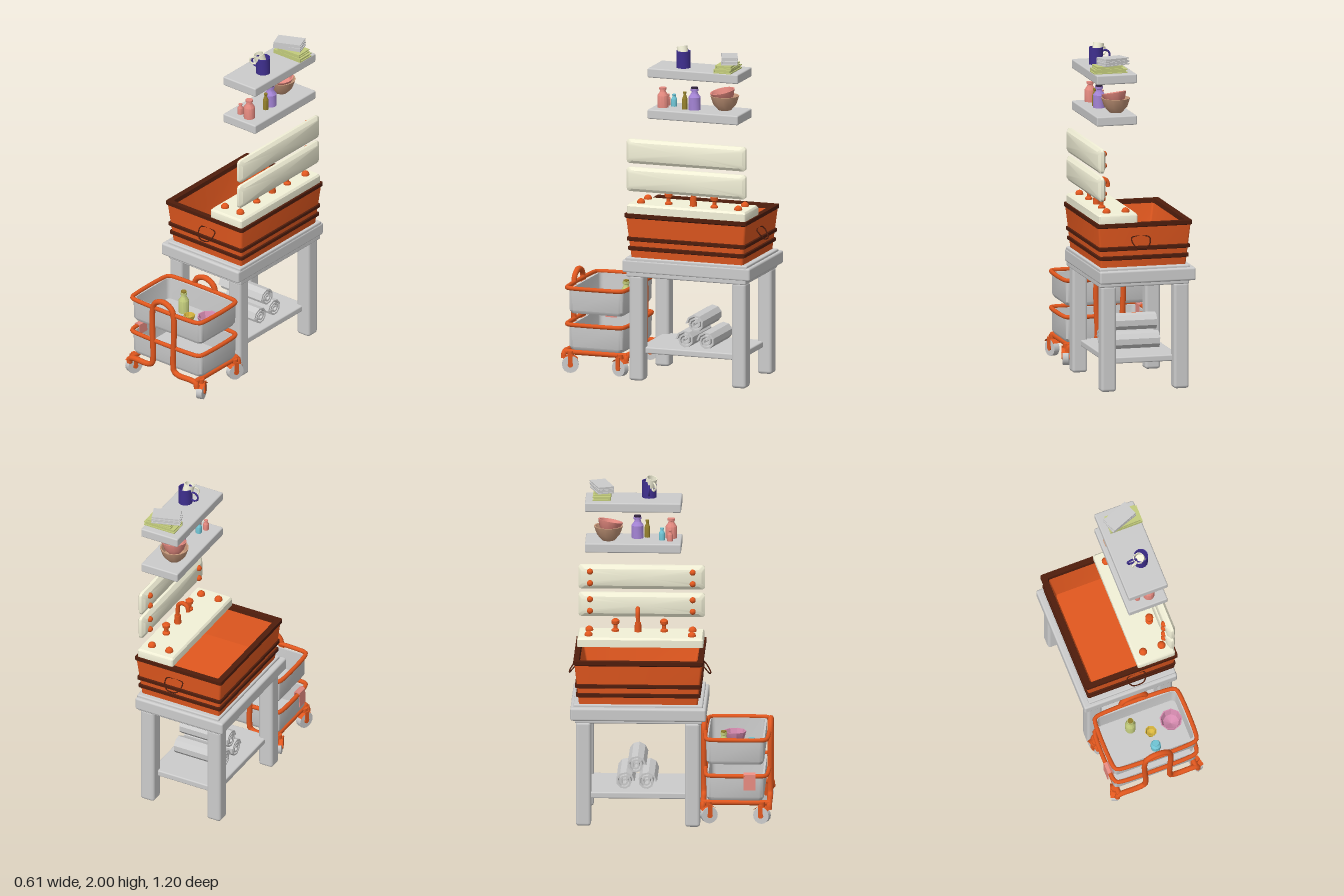
import * as THREE from 'three';
import { toCreasedNormals } from 'three/addons/utils/BufferGeometryUtils.js';
import { RoundedBoxGeometry } from 'three/addons/geometries/RoundedBoxGeometry.js';

const GREY = 0xcccccc, ORANGE = 0xe2581f, DARK = 0x4f1d0c, CREAM = 0xf3f1d8, PINK = 0xe58a80;
const GREEN = 0xc3cc7c, PURPLE = 0x3f2f8f, CYAN = 0x6fc4d4, OLIVE = 0x94802c, LILAC = 0xa585d6;
const mats = {};
const mat = (c) => (mats[c] ??= new THREE.MeshStandardMaterial({ color: c, side: THREE.DoubleSide }));

function add(parent, name, geo, color, x = 0, y = 0, z = 0) {
  const m = new THREE.Mesh(geo, mat(color));
  m.name = name;
  m.position.set(x, y, z);
  parent.add(m);
  return m;
}
function group(parent, name, x = 0, y = 0, z = 0) {
  const g = new THREE.Group();
  g.name = name;
  g.position.set(x, y, z);
  parent.add(g);
  return g;
}
// Box given by its limits, with softened edges
function box(parent, name, color, [x0, x1], [y0, y1], [z0, z1], r = 0.008) {
  const geo = new RoundedBoxGeometry(x1 - x0, y1 - y0, z1 - z0, 2, r);
  return add(parent, name, geo, color, (x0 + x1) / 2, (y0 + y1) / 2, (z0 + z1) / 2);
}
// Skin over rounded rectangles [halfX, halfZ, y]
function loft(rings, radius, closed = false) {
  const pos = [], idx = [], k = 4, n = k * 4;
  for (const [hx, hz, y] of rings) {
    const r = Math.min(radius, hx, hz);
    for (let c = 0; c < 4; c++) for (let i = 0; i < k; i++) {
      const a = (c + i / (k - 1)) * Math.PI / 2;
      const sx = c === 0 || c === 3 ? 1 : -1, sz = c < 2 ? -1 : 1;
      pos.push(sx * (hx - r) + r * Math.cos(a), y, sz * (hz - r) - r * Math.sin(a));
    }
  }
  const m = rings.length;
  for (let j = 0; j < (closed ? m : m - 1); j++) for (let i = 0; i < n; i++) {
    const a = j * n + i, b = j * n + (i + 1) % n, c = ((j + 1) % m) * n + (i + 1) % n, d = ((j + 1) % m) * n + i;
    idx.push(a, b, c, a, c, d);
  }
  const g = new THREE.BufferGeometry();
  g.setAttribute('position', new THREE.Float32BufferAttribute(pos, 3));
  g.setIndex(idx);
  return toCreasedNormals(g, 0.6);
}
function tube(pts, r, closed = false, seg = 48, sides = 8) {
  const curve = new THREE.CatmullRomCurve3(pts.map((p) => new THREE.Vector3(...p)), closed);
  return new THREE.TubeGeometry(curve, seg, r, sides, closed);
}
const lathe = (pts, sides = 12) =>
  toCreasedNormals(new THREE.LatheGeometry(pts.map((p) => new THREE.Vector2(...p)), sides), 0.6);
const bottle = (r, h) => lathe([[0, 0], [r, 0], [r, h * 0.6], [r * 0.55, h * 0.78], [r * 0.5, h * 0.88], [r * 0.65, h * 0.9], [r * 0.65, h], [0, h]]);
const bowl = (r, h, sides = 14) =>
  lathe([[0, 0], [r * 0.45, 0], [r * 0.8, h * 0.4], [r, h], [r * 0.9, h], [r * 0.7, h * 0.45], [0, h * 0.12]], sides);
const ball = (r) => new THREE.SphereGeometry(r, 14, 10);

function mug(parent, name, color, r, h, x, y, z) {
  const g = group(parent, name, x, y, z);
  add(g, 'mugBody', lathe([[0, 0], [r, 0], [r, h], [r * 0.88, h], [r * 0.85, 0.01], [0, 0.01]], 16), color);
  add(g, 'mugHandle', new THREE.TorusGeometry(h * 0.28, 0.006, 6, 14), color, -r - h * 0.13, h * 0.52, 0);
  return g;
}
function book(parent, name, color, w, d, h, x, y, z, turn = 0, tilt = 0) {
  const g = group(parent, name, x, y, z);
  g.rotation.set(0, turn, tilt);
  for (const t of [0.003, h - 0.003]) add(g, 'cover', new THREE.BoxGeometry(w, 0.006, d), color, 0, t, 0);
  add(g, 'spine', new THREE.BoxGeometry(w, h, 0.006), color, 0, h / 2, d / 2 - 0.003);
  add(g, 'pages', new THREE.BoxGeometry(w - 0.016, h - 0.01, d - 0.014), color, 0, h / 2, 0);
}

function buildTable(root) {
  const g = group(root, 'table');
  box(g, 'tableTop', GREY, [-0.305, 0.275], [0.645, 0.722], [-0.583, 0.21], 0.012);
  box(g, 'tableTopStep', GREY, [-0.27, 0.272], [0.71, 0.737], [-0.565, 0.19]);
  box(g, 'apron', GREY, [-0.27, 0.272], [0.622, 0.655], [-0.557, 0.185]);
  box(g, 'lowerShelf', GREY, [-0.225, 0.21], [0.157, 0.195], [-0.5, 0.13]);
  for (const x of [-0.227, 0.213]) for (const z of [0.13, -0.507])
    box(g, 'tableLeg', GREY, [x - 0.046, x + 0.046], [0, 0.63], [z - 0.044, z + 0.044], 0.018);
}

function buildTowels(root) {
  // Spiral outline: out along the outer side, back along the inner one
  const turns = 2.4, n = 22, outer = [], inner = [];
  for (let i = 0; i <= n; i++) {
    const a = (i / n) * turns * Math.PI * 2 + 0.6, r = 0.014 + 0.019 * (i / n) * turns;
    outer.push(new THREE.Vector2(Math.cos(a) * r, Math.sin(a) * r));
    inner.unshift(new THREE.Vector2(Math.cos(a) * (r - 0.011), Math.sin(a) * (r - 0.011)));
  }
  const geo = new THREE.ExtrudeGeometry(new THREE.Shape([...outer, ...inner]), { depth: 0.32, bevelEnabled: false });
  geo.translate(0, 0, -0.16).rotateY(Math.PI / 2);
  const g = group(root, 'towels');
  for (const [y, z] of [[0.245, -0.14], [0.245, -0.27], [0.343, -0.203]]) add(g, 'rolledTowel', geo, GREY, 0, y, z);
}

function buildBasin(root) {
  const g = group(root, 'basin', 0, 0, -0.187);
  add(g, 'tub', loft([[0, 0, 0.737], [0.257, 0.347, 0.737], [0.281, 0.373, 0.985], [0.25, 0.345, 0.985],
    [0.216, 0.305, 0.785], [0, 0, 0.785]], 0.012), ORANGE);
  add(g, 'rim', loft([[0.28, 0.37, 0.972], [0.287, 0.379, 0.978], [0.287, 0.379, 1], [0.252, 0.347, 1], [0.248, 0.343, 0.975]], 0.012, true), DARK);
  for (const [y, hx, hz] of [[0.848, 0.267, 0.359], [0.792, 0.262, 0.353]])
    add(g, 'band', loft([[hx - 0.006, hz - 0.006, y - 0.016], [hx + 0.01, hz + 0.01, y - 0.009],
      [hx + 0.01, hz + 0.01, y + 0.009], [hx - 0.006, hz - 0.006, y + 0.016]], 0.012, true), DARK);
  for (const s of [1, -1]) add(g, 'wireHandle', tube([[-0.025, 0.915, s * 0.368], [-0.031, 0.895, s * 0.385], [-0.01, 0.862, s * 0.408],
    [0.025, 0.855, s * 0.412], [0.06, 0.862, s * 0.408], [0.081, 0.895, s * 0.385], [0.075, 0.915, s * 0.368]], 0.004, true, 40, 6), DARK);
}

function buildTaps(root) {
  const g = group(root, 'taps');
  add(g, 'ledge', loft([[0, 0, 1], [0.117, 0.368, 1], [0.117, 0.368, 1.043], [0.108, 0.36, 1.055], [0, 0, 1.055]], 0.01), CREAM, 0.157, 0, -0.187);
  for (const x of [0.097, 0.212]) for (const z of [0.113, -0.49]) add(g, 'ledgeKnob', ball(0.024), ORANGE, x, 1.058, z);
  // Tap handles either side of the spout
  for (const z of [-0.053, -0.337])
    add(g, 'tapHandle', lathe([[0, 0], [0.022, 0], [0.022, 0.012], [0.012, 0.02], [0.012, 0.04], [0.022, 0.048], [0.024, 0.066], [0.014, 0.076], [0, 0.078]]), ORANGE, 0.2, 1.053, z);
  add(g, 'spoutBase', new THREE.CylinderGeometry(0.018, 0.022, 0.06, 12), ORANGE, 0.195, 1.08, -0.205);
  add(g, 'spout', tube([[0.195, 1.06, -0.205], [0.195, 1.14, -0.205], [0.188, 1.185, -0.205], [0.16, 1.203, -0.205],
    [0.132, 1.188, -0.205], [0.125, 1.155, -0.205]], 0.013), ORANGE);
}

function buildWallPanels(root) {
  const g = group(root, 'wallPanels');
  // Chamfered slab stood on edge
  const geo = loft([[0, 0, -0.022], [0.05, 0.35, -0.022], [0.072, 0.37, -0.006], [0.072, 0.37, 0.01], [0.054, 0.352, 0.024], [0, 0, 0.024]], 0.018)
    .rotateZ(-Math.PI / 2);
  for (const y of [1.37, 1.203]) {
    add(g, 'panel', geo, CREAM, 0.252, y, -0.185);
    for (const dy of [-0.035, 0.035]) for (const z of [0.113, -0.487]) add(g, 'panelBolt', ball(0.018), ORANGE, 0.227, y + dy, z);
  }
}

function buildShelves(root) {
  const g = group(root, 'shelves');
  for (const y of [1.572, 1.818]) box(g, 'shelf', GREY, [0.032, 0.275], [y, y + 0.056], [-0.51, 0.052]);
  const low = 1.628, top = 1.874;
  for (const [c, r, h, x, z] of [[PINK, 0.033, 0.118, 0.18, -0.01], [PINK, 0.017, 0.065, 0.11, -0.015], [CYAN, 0.018, 0.072, 0.132, -0.063],
    [OLIVE, 0.016, 0.104, 0.19, -0.15], [LILAC, 0.036, 0.125, 0.18, -0.207]]) add(g, 'bottle', bottle(r, h), c, x, low, z);
  add(g, 'bottleCap', new THREE.CylinderGeometry(0.02, 0.02, 0.012, 12), 0x33243f, 0.18, low + 0.128, -0.207);
  add(g, 'largeBowl', bowl(0.085, 0.085), 0xc99a7c, 0.125, low, -0.375);
  add(g, 'tiltedBowl', bowl(0.074, 0.07), PINK, 0.125, low + 0.045, -0.375).rotation.set(0.18, 0, -0.12);
  mug(g, 'mug', PURPLE, 0.042, 0.1, 0.18, top, -0.138);
  mug(g, 'stackedMug', CREAM, 0.032, 0.08, 0.175, top + 0.044, -0.138).rotation.set(0.1, 0.5, 0.22);
  book(g, 'lowerBook', GREEN, 0.2, 0.105, 0.024, 0.178, top, -0.413);
  book(g, 'secondBook', GREEN, 0.16, 0.1, 0.02, 0.185, top + 0.024, -0.413, 0.03);
  book(g, 'thirdBook', GREY, 0.17, 0.095, 0.021, 0.153, top + 0.045, -0.415, 0.33);
  book(g, 'topBook', GREY, 0.165, 0.095, 0.02, 0.155, top + 0.067, -0.415, 0.36, 0.03);
}

function buildCart(root) {
  const g = group(root, 'cart', 0.008, 0, 0);
  const cz = 0.378;
  // Hoop frames at both ends, flaring out to the casters
  for (const z of [0.577, 0.19]) {
    const half = [[0.252, 0.105], [0.246, 0.135], [0.215, 0.143], [0.115, 0.143], [0.082, 0.16], [0.075, 0.2], [0.08, 0.5], [0.062, 0.562]];
    const pts = [...half.map(([x, y]) => [-x, y, z]), [0, 0.589, z], ...half.reverse().map(([x, y]) => [x, y, z])];
    add(g, 'hoopFrame', tube(pts, 0.017, false, 90), ORANGE);
  }
  for (const s of [1, -1]) {
    add(g, 'baseBar', new THREE.CylinderGeometry(0.016, 0.016, 0.39, 8).rotateX(Math.PI / 2), ORANGE, s * 0.24, 0.143, 0.383);
    for (const z of [0.535, 0.225]) {
      const c = group(g, 'caster', s * 0.253, 0.072, z);
      c.rotation.y = s * (z > 0.4 ? 0.35 : -0.35);
      const across = (geo) => geo.rotateZ(Math.PI / 2);
      add(c, 'wheel', across(new THREE.CylinderGeometry(0.049, 0.049, 0.036, 16)), GREY);
      add(c, 'fender', across(new THREE.CylinderGeometry(0.055, 0.055, 0.05, 10, 1, true, 0.1, 1.9)), ORANGE).rotation.x = -0.55;
      add(c, 'hub', across(new THREE.CylinderGeometry(0.016, 0.016, 0.05, 10)), ORANGE);
      for (const e of [-0.023, 0.023]) add(c, 'fork', new THREE.BoxGeometry(0.006, 0.07, 0.026), ORANGE, e, 0.03, 0);
      add(c, 'stem', new THREE.CylinderGeometry(0.018, 0.018, 0.035, 8), ORANGE, 0, 0.062, 0);
    }
  }
  // Open baskets with tube rails
  for (const y of [0.375, 0.158]) {
    add(g, 'basket', loft([[0, 0, y], [0.245, 0.158, y], [0.257, 0.168, y + 0.02], [0.259, 0.17, y + 0.145],
      [0.247, 0.158, y + 0.145], [0.24, 0.152, y + 0.015], [0, 0, y + 0.015]], 0.025), GREY, 0, 0, cz);
    const hx = 0.26, hz = 0.178, k = 0.03, rail = [];
    for (const [sx, sz, flip] of [[1, 1, 0], [-1, 1, 1], [-1, -1, 0], [1, -1, 1]]) {
      const a = [sx * hx, 0, sz * (hz - k)], b = [sx * (hx - 0.3 * k), 0, sz * (hz - 0.3 * k)], c = [sx * (hx - k), 0, sz * hz];
      rail.push(...(flip ? [c, b, a] : [a, b, c]));
    }
    add(g, 'basketRail', tube(rail, 0.013, true, 96), ORANGE, 0, y + 0.151, cz + 0.007);
  }
  // Cloth draped over the lower rail
  const cloth = new THREE.Shape([[-0.022, -0.08], [-0.018, 0.012], [0, 0.022], [0.018, 0.012], [0.02, -0.05], [0.015, -0.05], [0.013, 0.008], [0, 0.016], [-0.013, 0.008], [-0.017, -0.08]]
    .map((p) => new THREE.Vector2(...p)));
  add(g, 'cloth', new THREE.ExtrudeGeometry(cloth, { depth: 0.07, bevelEnabled: false }), PINK, -0.26, 0.309, 0.427);
  // Toiletries in the upper basket
  const f = 0.39;
  add(g, 'lotionBottle', bottle(0.031, 0.13), GREEN, -0.065, f, 0.305);
  add(g, 'lotionCap', new THREE.CylinderGeometry(0.016, 0.016, 0.012, 10), OLIVE, -0.065, f + 0.133, 0.305);
  add(g, 'yellowBowl', bowl(0.035, 0.045, 8), 0xd9b740, 0.035, f, 0.377);
  add(g, 'blueJar', bottle(0.03, 0.07), CYAN, 0.032, f, 0.465);
  add(g, 'pinkBowl', bowl(0.067, 0.075, 9), 0xd68bb0, 0.167, f, 0.362);
}

export function createModel() {
  const root = new THREE.Group();
  root.name = 'washstand';
  for (const build of [buildTable, buildTowels, buildBasin, buildTaps, buildWallPanels, buildShelves, buildCart]) build(root);
  return root;
}
